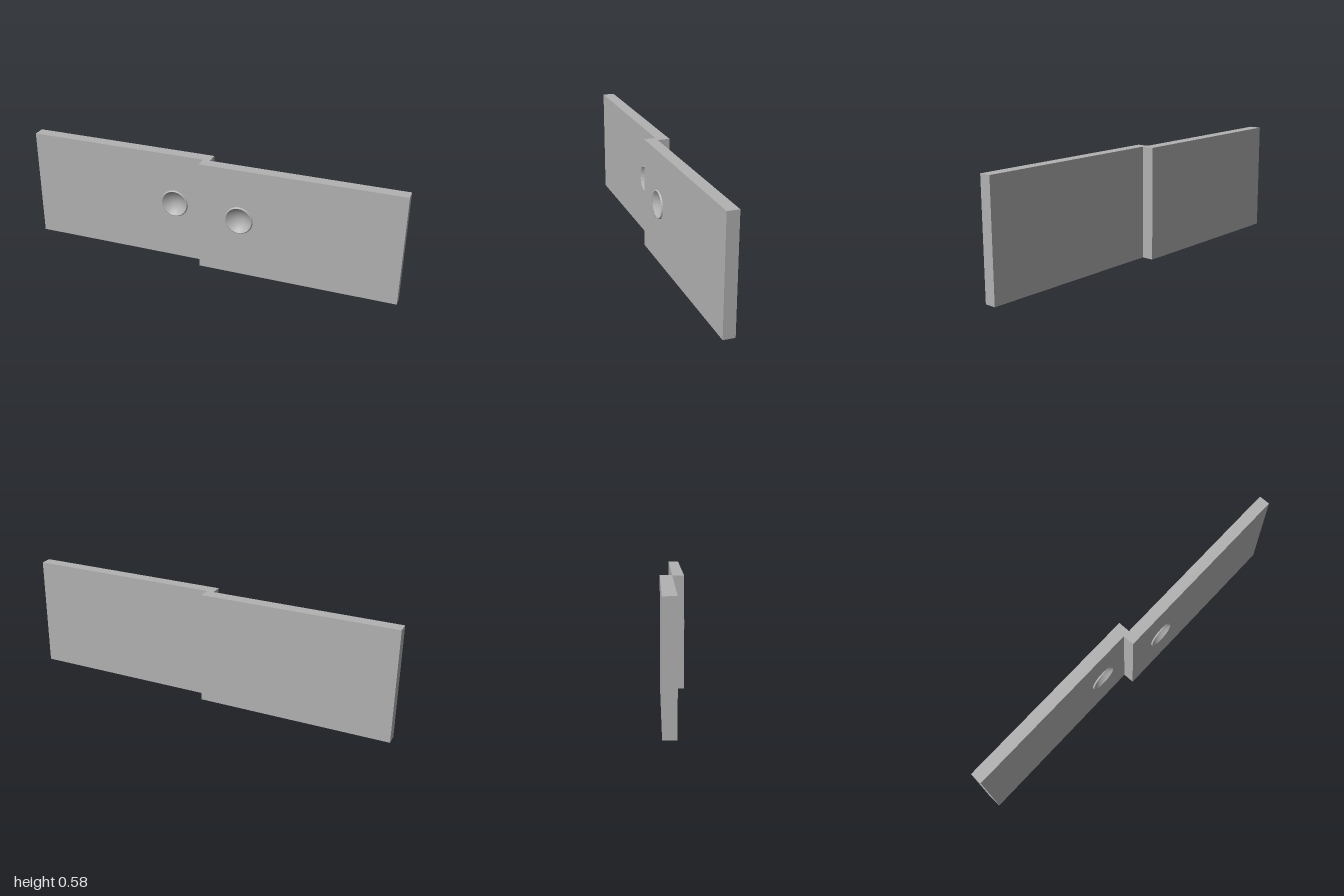
import * as THREE from 'three';

const HEIGHT = 0.585;
const PULL_Y = 0.31;
const PULL_RADIUS = 0.07;

// Door slab whose front face has a round opening for the finger pull
function makeDoor(name, x0, x1, zBack, zFront, pullX, material) {
  const door = new THREE.Group();
  door.name = name;

  // Sides and back: a box without its front face (indices 24 to 29)
  const shell = new THREE.BoxGeometry(x1 - x0, HEIGHT, zFront - zBack);
  const index = Array.from(shell.index.array);
  index.splice(24, 6);
  shell.setIndex(index);
  shell.clearGroups();
  shell.translate((x0 + x1) / 2, HEIGHT / 2, (zBack + zFront) / 2);
  const body = new THREE.Mesh(shell, material);
  body.name = 'doorBody';

  // Front face with the opening
  const face = new THREE.Shape();
  face.moveTo(x0, 0);
  face.lineTo(x1, 0);
  face.lineTo(x1, HEIGHT);
  face.lineTo(x0, HEIGHT);
  face.closePath();
  const hole = new THREE.Path();
  hole.absarc(pullX, PULL_Y, PULL_RADIUS, 0, Math.PI * 2, true);
  face.holes.push(hole);
  const front = new THREE.Mesh(new THREE.ShapeGeometry(face, 24), material);
  front.name = 'doorFront';
  front.position.z = zFront;

  // Finger pull: round dish sunk in the door
  const dish = [];
  const rim = 0.068, depth = 0.03;
  for (let i = 0; i <= 10; i++) {
    const r = (rim * i) / 10;
    dish.push(new THREE.Vector2(r, 0.007 - depth * (1 - (r / rim) ** 2)));
  }
  const bowl = new THREE.Mesh(new THREE.LatheGeometry(dish, 48), material);
  bowl.name = 'pullDish';

  // Raised bevelled lip around the dish
  const lipProfile = [[0.074, 0], [0.07, 0.007], [rim, 0.007]];
  const lip = new THREE.Mesh(
    new THREE.LatheGeometry(lipProfile.map(([r, y]) => new THREE.Vector2(r, y)), 48),
    material
  );
  lip.name = 'pullLip';

  const pull = new THREE.Group();
  pull.name = 'fingerPull';
  pull.add(bowl, lip);
  pull.rotation.x = Math.PI / 2;
  pull.position.set(pullX, PULL_Y, zFront);

  door.add(body, front, pull);
  return door;
}

export function createModel() {
  const model = new THREE.Group();
  model.name = 'slidingDoors';
  const grey = new THREE.MeshStandardMaterial({ color: 0xb2b2b2 });
  grey.name = 'grey';
  grey.side = THREE.DoubleSide;

  // Two overlapping doors on neighbouring tracks
  model.add(
    makeDoor('rearDoor', -1, 0, -0.064, -0.001, -0.197, grey),
    makeDoor('frontDoor', -0.037, 1, -0.001, 0.059, 0.177, grey)
  );
  return model;
}
